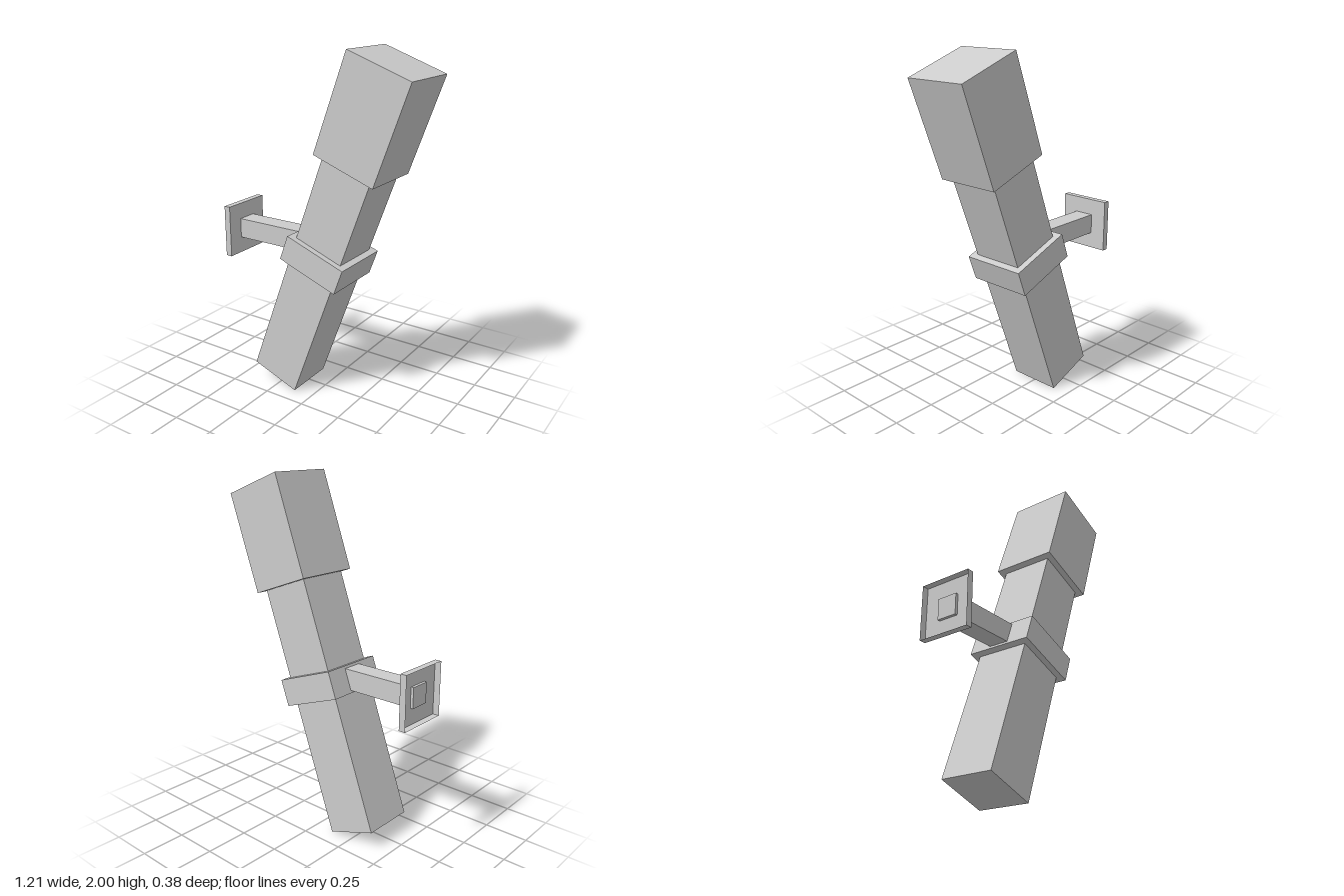
import * as THREE from 'three';

const material = new THREE.MeshStandardMaterial({ color: 0xcccccc, flatShading: true, side: THREE.DoubleSide });

function addBox(parent, name, size, position) {
  const mesh = new THREE.Mesh(new THREE.BoxGeometry(...size), material);
  mesh.name = name;
  mesh.position.set(...position);
  parent.add(mesh);
  return mesh;
}

export function createModel() {
  const model = new THREE.Group();
  model.name = 'wallTorch';

  // Torch leaning 20 degrees away from the wall, pivoting at the foot of its axis
  const torch = new THREE.Group();
  torch.name = 'torch';
  torch.position.set(-0.262, 0.053, 0);
  torch.rotation.z = -THREE.MathUtils.degToRad(20);
  model.add(torch);
  addBox(torch, 'shaft', [0.305, 1.44, 0.305], [0, 0.72, 0]);
  addBox(torch, 'collar', [0.38, 0.153, 0.38], [0, 0.845, 0]);
  addBox(torch, 'head', [0.38, 0.573, 0.38], [0, 1.717, 0]);

  // Arm from the wall plate into the collar
  addBox(model, 'bracketArm', [0.485, 0.116, 0.116], [-0.3425, 0.912, 0]);

  // Shallow wall plate, open on the wall side
  const plate = addBox(model, 'wallPlate', [0.038, 0.305, 0.305], [-0.588, 0.912, 0]);
  const index = Array.from(plate.geometry.index.array);
  index.splice(6, 6); // drops the -x face
  plate.geometry.setIndex(index);
  plate.geometry.clearGroups();

  return model;
}
